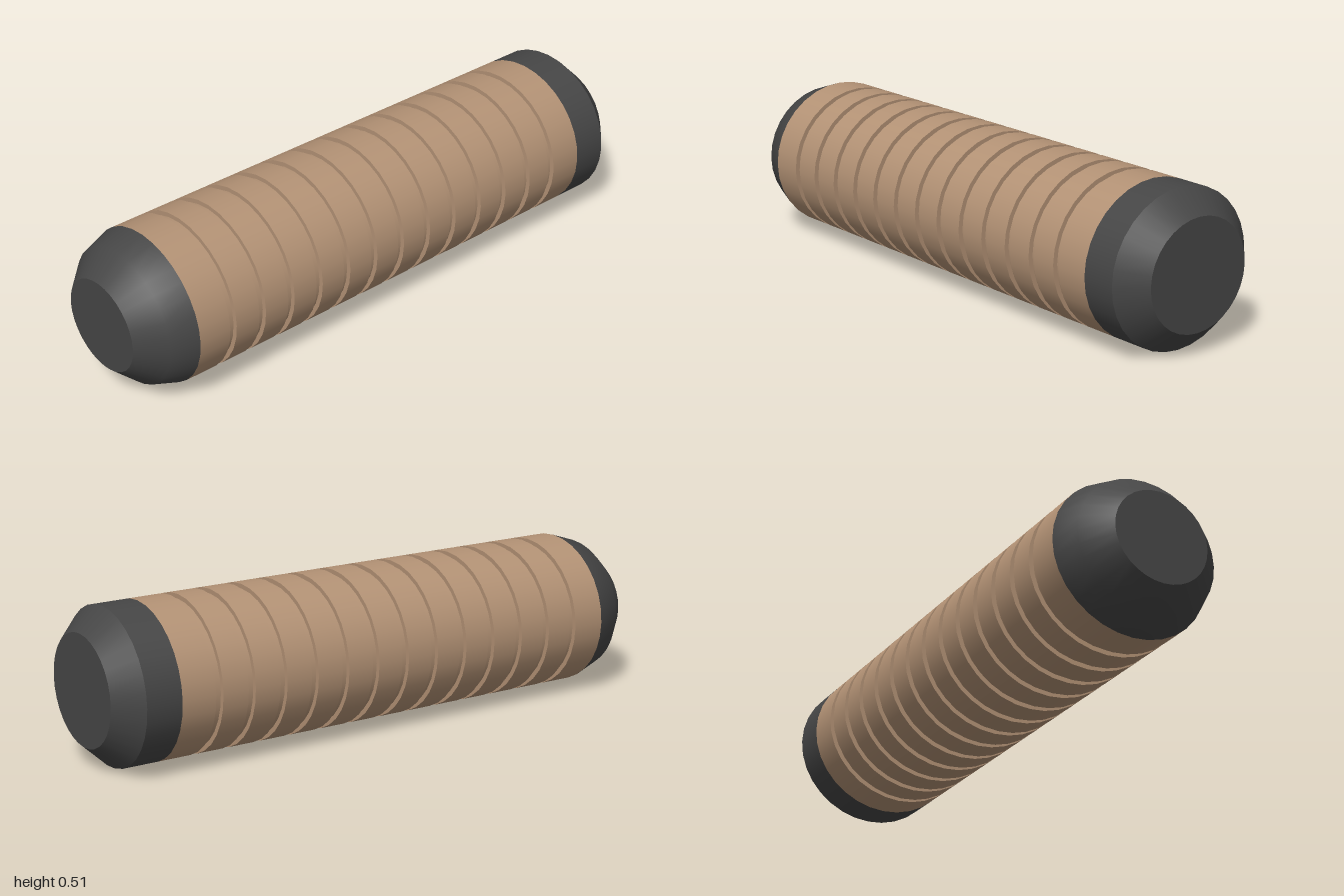
import * as THREE from 'three';
import { mergeGeometries } from 'three/addons/utils/BufferGeometryUtils.js';

const R = 0.256;          // outer half height
const RZ = 0.272;         // outer half depth (oval section)
const GROOVE_R = 0.241;

// Revolve each [x, radius] run about the x axis; runs are smooth inside, creased where they meet
function turned(runs) {
  const parts = runs.map((run) => {
    const g = new THREE.LatheGeometry(run.map(([x, r]) => new THREE.Vector2(r, x)), 32);
    g.rotateZ(-Math.PI / 2);
    g.scale(1, 1, RZ / R);
    g.translate(0, R, 0);
    return g;
  });
  return mergeGeometries(parts);
}

// Split a profile into one run per straight segment
const creased = (pts) => pts.slice(1).map((p, i) => [pts[i], p]);

export function createModel() {
  const model = new THREE.Group();
  model.name = 'ribbedGrip';

  const tan = new THREE.MeshStandardMaterial({ color: 0xb39275 });
  tan.name = 'tan grip';
  const charcoal = new THREE.MeshStandardMaterial({ color: 0x464646 });
  charcoal.name = 'charcoal cap';

  const add = (name, geometry, material) => {
    const mesh = new THREE.Mesh(geometry, material);
    mesh.name = name;
    model.add(mesh);
  };

  // Grip with thirteen square grooves
  const profile = [[-0.83, R]];
  for (let i = 0; i < 13; i++) {
    const x = -0.704 + i * 0.1146;
    profile.push([x - 0.0125, R], [x - 0.0125, GROOVE_R], [x + 0.0125, GROOVE_R], [x + 0.0125, R]);
  }
  profile.push([0.8, R]);
  add('grip', turned(creased(profile)), tan);

  // Rounded cap on the -x end
  add('roundedCap', turned([
    [[-1, 0], [-1, 0.152]],
    [[-1, 0.152], [-0.92, 0.226], [-0.83, R]],
    [[-0.83, R], [-0.83, 0]],
  ]), charcoal);

  // Bevelled cap on the +x end
  add('bevelledCap', turned(creased([
    [0.8, 0], [0.8, R], [0.92, R], [1, 0.181], [1, 0],
  ])), charcoal);

  return model;
}
